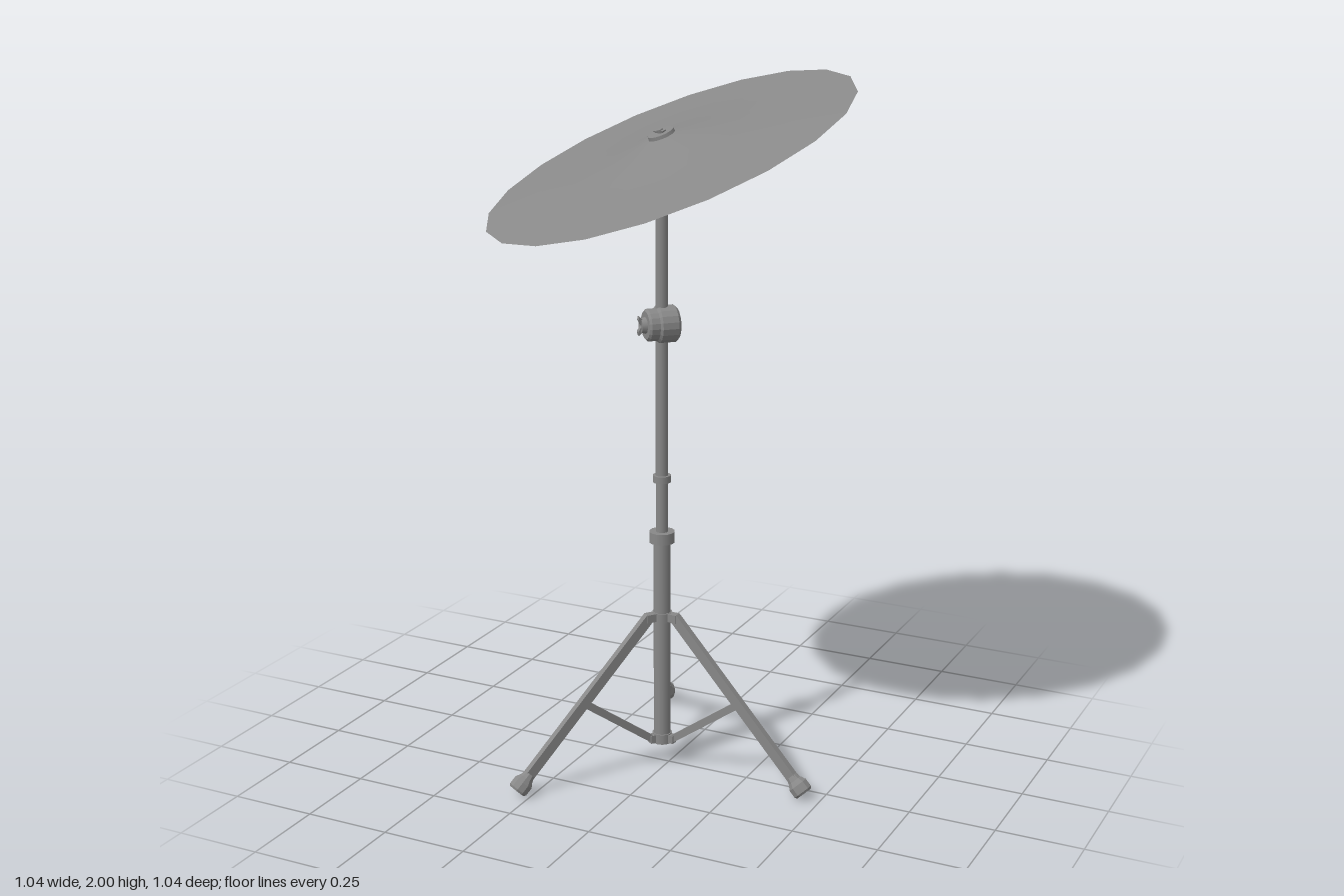
import * as THREE from 'three';

const V = (x, y, z = 0) => new THREE.Vector3(x, y, z);
const UP = V(0, 1, 0);

export function createModel() {
  const model = new THREE.Group();
  model.name = 'cymbalOnStand';
  const color = 0x888888;
  const flat = new THREE.MeshStandardMaterial({ color, flatShading: true });
  const smooth = new THREE.MeshStandardMaterial({ color });
  const thin = new THREE.MeshStandardMaterial({ color, side: THREE.DoubleSide });

  const add = (parent, name, geometry, material = flat) => {
    const mesh = new THREE.Mesh(geometry, material);
    mesh.name = name;
    parent.add(mesh);
    return mesh;
  };
  const group = (parent, name) => {
    const g = new THREE.Group();
    g.name = name;
    parent.add(g);
    return g;
  };
  // Upright cylinder between two heights
  const post = (parent, name, y0, y1, r0, r1 = r0, sides = 14) => {
    const mesh = add(parent, name, new THREE.CylinderGeometry(r1, r0, y1 - y0, sides), smooth);
    mesh.position.y = (y0 + y1) / 2;
    return mesh;
  };
  // Turned part from [radius, height] pairs
  const turned = (parent, name, points, sides, material) =>
    add(parent, name, new THREE.LatheGeometry(points.map(p => new THREE.Vector2(...p)), sides), material);
  // Square bar between two points in the x-y plane
  const bar = (parent, name, a, b, depth, width) => {
    const d = b.clone().sub(a);
    const mesh = add(parent, name, new THREE.BoxGeometry(depth, d.length(), width));
    mesh.position.copy(a).add(b).multiplyScalar(0.5);
    mesh.quaternion.setFromUnitVectors(UP, d.normalize());
    return mesh;
  };
  // Flat two-winged grip, rising along +y
  const wings = (parent, name, y, span, height, thickness) => {
    const s = new THREE.Shape();
    s.moveTo(-span, height);
    s.lineTo(-span * 0.45, 0);
    s.lineTo(span * 0.45, 0);
    s.lineTo(span, height);
    s.lineTo(span * 0.6, height * 1.15);
    s.lineTo(0, height * 0.55);
    s.lineTo(-span * 0.6, height * 1.15);
    const g = new THREE.ExtrudeGeometry(s, { depth: thickness, bevelEnabled: false });
    g.translate(0, y, -thickness / 2);
    return add(parent, name, g);
  };

  // Stand, with its column slightly off the cymbal's centre
  const stand = group(model, 'stand');
  stand.position.set(-0.016, 0, 0.012);
  post(stand, 'lowerTube', 0.075, 0.7, 0.025);
  post(stand, 'lowerTubeClamp', 0.69, 0.722, 0.037);
  post(stand, 'middleTube', 0.7, 1.32, 0.018);
  post(stand, 'memoryCollar', 0.87, 0.89, 0.026);
  post(stand, 'upperTube', 1.32, 1.85, 0.018);
  post(stand, 'legCollar', 0.45, 0.478, 0.029);
  post(stand, 'strutCollar', 0.07, 0.1, 0.029);

  // Three legs, each with a strut, lugs and a rubber foot
  const footProfile = [[0, 0], [0.017, 0], [0.021, 0.015], [0.03, 0.03], [0.03, 0.054], [0.025, 0.06], [0, 0.06]];
  for (let i = 0; i < 3; i++) {
    const leg = group(stand, 'leg' + (i + 1));
    leg.rotation.y = -THREE.MathUtils.degToRad(5 + 120 * i);
    const top = V(0.042, 0.468), tip = V(0.47, 0.02);
    const along = t => top.clone().lerp(tip, t);
    bar(leg, 'legBar', top, along(0.95), 0.03, 0.019);
    bar(leg, 'strut', V(0.035, 0.085), along(0.5), 0.021, 0.013);
    bar(leg, 'legLug', V(0.015, 0.465), V(0.053, 0.465), 0.024, 0.024);
    bar(leg, 'strutLug', V(0.015, 0.085), V(0.042, 0.085), 0.024, 0.02);
    const foot = turned(leg, 'foot', footProfile, 10, flat);
    foot.position.copy(along(0.905));
    foot.quaternion.setFromUnitVectors(UP, tip.clone().sub(top).normalize());
  }

  // Tilter: a drum lying across the column, with a wing screw at one end
  const tilter = group(stand, 'tilter');
  tilter.position.y = 1.328;
  tilter.quaternion.setFromUnitVectors(UP, V(-1, 0, 1).normalize());
  turned(tilter, 'tilterDrum', [[0, -0.042], [0.046, -0.042], [0.053, -0.034], [0.053, 0.012],
    [0.046, 0.018], [0.046, 0.042], [0.04, 0.048], [0, 0.048]], 18, flat);
  post(tilter, 'tilterScrew', 0.046, 0.062, 0.024, 0.02, 12);
  wings(tilter, 'tilterWings', 0.052, 0.028, 0.016, 0.014).rotation.y = 0.7;

  // Cymbal, tilted as one piece with its fittings
  const cymbal = group(model, 'cymbal');
  cymbal.position.y = 1.801;
  cymbal.quaternion.setFromUnitVectors(UP, V(-0.285, 1, 0.285).normalize());
  turned(cymbal, 'cymbalTop', [[0.538, 0], [0.38, 0.009], [0.212, 0.016], [0.05, 0.053], [0.01, 0.058]], 20, thin);
  turned(cymbal, 'cymbalUnderside', [[0.01, 0.028], [0.2, 0.014], [0.538, -0.001]], 20, thin);
  post(cymbal, 'lowerWasher', 0.016, 0.036, 0.038, 0.048, 16);
  post(cymbal, 'topWasher', 0.052, 0.064, 0.039, 0.037, 16);
  post(cymbal, 'threadedRod', 0.05, 0.073, 0.01, 0.009, 10);
  wings(cymbal, 'wingNut', 0.062, 0.024, 0.008, 0.014).rotation.y = -0.5;

  return model;
}
